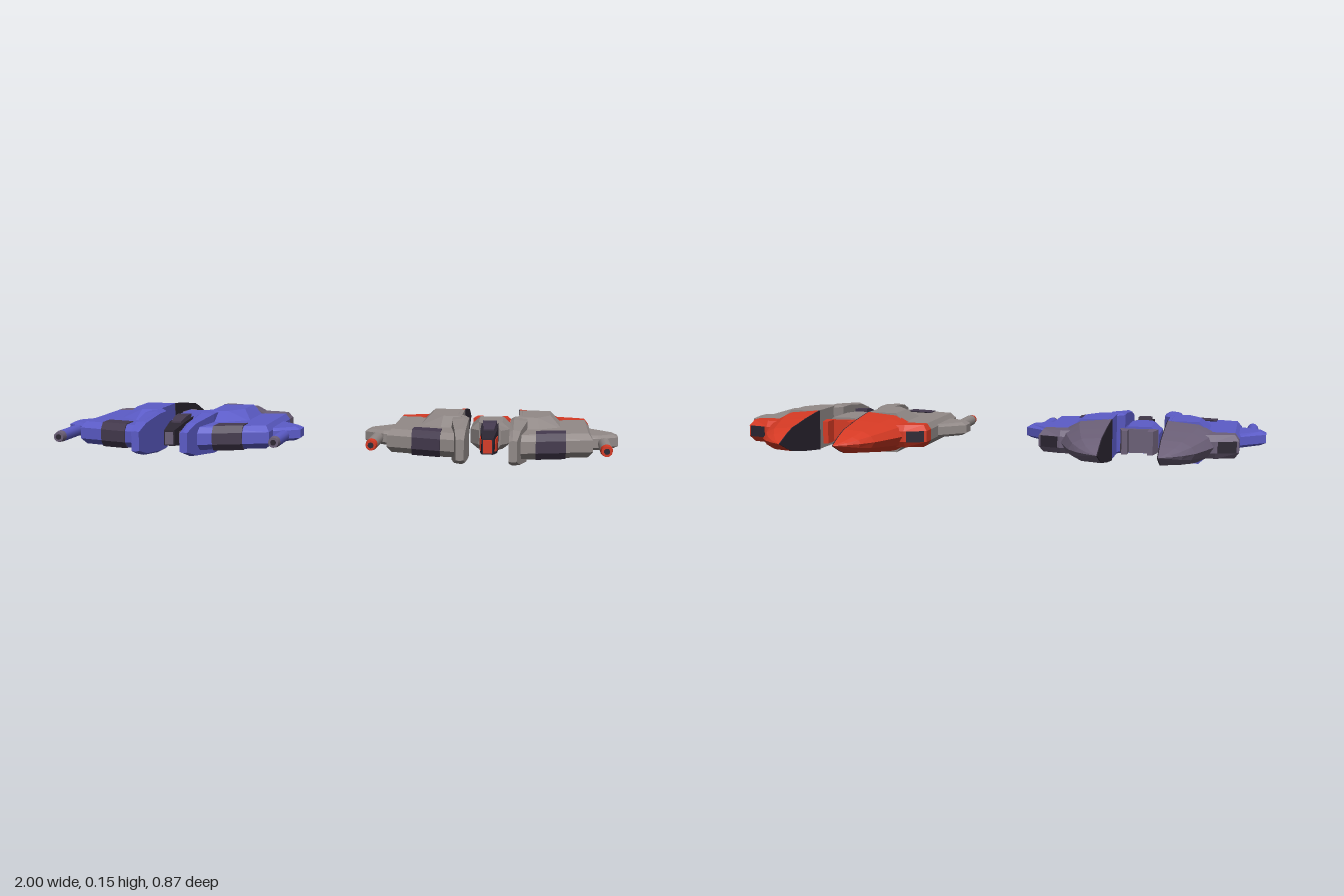
import * as THREE from 'three';

const paint = (name, color, flat = true) => {
  const m = new THREE.MeshStandardMaterial({ color });
  m.name = name;
  return m;
};

// Skin a list of equal-sized rings of [x, y, z] points, with capped ends and flat faces.
function loft(rings) {
  const tris = [];
  const n = rings[0].length;
  for (let i = 0; i < rings.length - 1; i++) {
    for (let j = 0; j < n; j++) {
      const k = (j + 1) % n;
      const a = rings[i][j], b = rings[i][k], c = rings[i + 1][k], d = rings[i + 1][j];
      tris.push([a, b, c], [a, c, d]);
    }
  }
  const first = rings[0], last = rings[rings.length - 1];
  for (let j = 1; j < n - 1; j++) {
    tris.push([first[0], first[j + 1], first[j]], [last[0], last[j], last[j + 1]]);
  }
  // Orient all faces outward using the signed volume
  const v = (p) => new THREE.Vector3(...p);
  const o = v(first[0]);
  let vol = 0;
  for (const [a, b, c] of tris) vol += v(a).sub(o).dot(v(b).sub(o).cross(v(c).sub(o)));
  const pos = [];
  for (const [a, b, c] of tris) pos.push(...a, ...(vol < 0 ? c : b), ...(vol < 0 ? b : c));
  const g = new THREE.BufferGeometry();
  g.setAttribute('position', new THREE.Float32BufferAttribute(pos, 3));
  g.computeVertexNormals();
  return g;
}

const MID = 0.075; // height of the horizontal symmetry plane

// Stack plan outlines of [x, z] points at given heights; s mirrors x.
const stack = (layers, s = 1) => loft(layers.map(([y, pts]) => pts.map(([x, z]) => [x * s, y, z])));

// Slab with bevelled outer, front and rear edges.
function slab(pts, s, grow = 0) {
  const inset = pts.map(([x, z]) => [x > 0.3 ? x - 0.015 : x, z > 0.2 ? z - 0.02 : z < -0.12 ? z + 0.015 : z]);
  const h = 0.041 + grow;
  return stack([[MID - h, inset], [MID - 0.02, pts], [MID + 0.02, pts], [MID + h, inset]], s);
}

function createShip(main, accent, dark, glass) {
  const ship = new THREE.Group();
  const add = (parent, name, geo, mat, x = 0, y = 0, z = 0) => {
    const m = new THREE.Mesh(geo, mat);
    m.name = name;
    m.position.set(x, y, z);
    parent.add(m);
    return m;
  };

  for (const s of [1, -1]) {
    const half = new THREE.Group();
    half.name = s > 0 ? 'leftHull' : 'rightHull';
    ship.add(half);

    // Hull slab and its painted rear section
    add(half, 'hullSlab', slab([[0.1, -0.06], [0.35, -0.08], [0.35, 0.27], [0.1, 0.35]], s), main);
    add(half, 'rearHull', slab([[0.1, -0.06], [0.1, -0.165], [0.27, -0.165], [0.35, -0.14], [0.35, -0.08]], s), accent);

    // Raised armour above and below
    for (const d of [1, -1]) {
      add(half, d > 0 ? 'upperArmour' : 'lowerArmour', stack([
        [MID + d * 0.035, [[0.1, -0.063], [0.25, -0.075], [0.25, 0.13], [0.17, 0.2], [0.1, 0.21]]],
        [MID + d * 0.074, [[0.1, -0.062], [0.21, -0.07], [0.21, 0.06], [0.165, 0.13], [0.1, 0.135]]],
      ], s), main);
    }

    // Inner keel plate running to the front prong: z, inner x, outer x, half height
    const keel = [[-0.06, 0.1, 0.13, 0.075], [0.09, 0.1, 0.13, 0.075], [0.125, 0.073, 0.13, 0.075],
      [0.2, 0.073, 0.13, 0.075], [0.35, 0.073, 0.11, 0.06], [0.43, 0.073, 0.1, 0.036]];
    add(half, 'keelPlate', loft(keel.map(([z, a, b, h]) => [
      [a * s, MID - h * 0.9, z], [a * s, MID + h * 0.9, z], [(a + 0.012) * s, MID + h, z],
      [b * s, MID + h * 0.94, z], [b * s, MID - h * 0.94, z], [(a + 0.012) * s, MID - h, z]])), main);

    // Swept tail fin: z, width, half height
    const fin = [[-0.06, 0.185, 0.075], [-0.12, 0.18, 0.069], [-0.2, 0.155, 0.06], [-0.26, 0.135, 0.051],
      [-0.32, 0.113, 0.043], [-0.37, 0.08, 0.027], [-0.405, 0.045, 0.013], [-0.435, 0.003, 0.001]];
    const arc = [[0, 1], [0.6, 0.88], [0.88, 0.5], [1, 0], [0.88, -0.5], [0.6, -0.88], [0, -1]];
    add(half, 'tailFin', loft(fin.map(([z, w, h]) => arc.map(([u, v]) => [(0.1 + u * w) * s, MID + v * h, z]))), accent);
    add(half, 'finInnerFace', loft(fin.map(([z, , h]) => [
      [0.097 * s, MID + h, z], [0.1 * s, MID + h, z], [0.1 * s, MID - h, z], [0.097 * s, MID - h, z]])), dark);

    // Wraparound front window
    const edge = (x) => 0.355 - (x - 0.1) * 0.32;
    add(half, 'frontWindow', slab([[0.16, 0.262], [0.26, 0.235], [0.26, edge(0.26)], [0.16, edge(0.16)]], s, 0.003), glass);

    // Rear exhaust panel
    const panel = add(half, 'exhaustPanel', new THREE.BoxGeometry(0.065, 0.04, 0.008), dark, 0.31 * s, MID, -0.153);
    panel.rotation.y = -0.3 * s;

    // Stub wing
    add(half, 'stubWing', stack([
      [0.05, [[0.33, 0], [0.42, 0.1], [0.42, 0.15], [0.37, 0.19], [0.33, 0.2]]],
      [0.06, [[0.33, -0.01], [0.44, 0.09], [0.44, 0.155], [0.37, 0.205], [0.33, 0.21]]],
      [0.09, [[0.33, -0.01], [0.44, 0.09], [0.44, 0.155], [0.37, 0.205], [0.33, 0.21]]],
      [0.1, [[0.33, 0], [0.42, 0.1], [0.42, 0.15], [0.37, 0.19], [0.33, 0.2]]],
    ], s), main);

    // Gun barrel along z
    const tube = (name, r0, r1, len, z, mat) => {
      add(half, name, new THREE.CylinderGeometry(r1, r0, len, 12), mat, 0.39 * s, MID, z).rotation.x = Math.PI / 2;
    };
    tube('gunBase', 0.012, 0.021, 0.025, 0.2, main);
    tube('gunBarrel', 0.021, 0.021, 0.14, 0.282, main);
    tube('gunTip', 0.021, 0.018, 0.026, 0.364, accent);
    tube('gunMuzzle', 0.01, 0.01, 0.004, 0.377, dark);

    // Rear prongs of the central pod
    add(ship, 'podProng', stack([
      [0.035, [[0.035, -0.135], [0.055, -0.135], [0.068, -0.06], [0.035, -0.06]]],
      [0.118, [[0.035, -0.135], [0.055, -0.135], [0.068, -0.06], [0.035, -0.06]]],
    ], s), accent);
  }

  // Central pod body
  const podPlan = (w) => [[-w, -0.06], [w, -0.06], [w, 0.09], [w * 0.55, 0.135], [-w * 0.55, 0.135], [-w, 0.09]];
  add(ship, 'podBody', stack([[0.03, podPlan(0.045)], [0.05, podPlan(0.07)], [0.1, podPlan(0.07)], [0.125, podPlan(0.042)]]), main);
  add(ship, 'podRearBlock', new THREE.BoxGeometry(0.07, 0.085, 0.04), accent, 0, MID, -0.055);

  // Nose, canopy and painted nose panels
  const box = (z, w, y0, y1) => [[-w, y0, z], [w, y0, z], [w, y1, z], [-w, y1, z]];
  add(ship, 'nose', loft([box(0.12, 0.03, 0.03, 0.125), box(0.22, 0.029, 0.035, 0.118), box(0.32, 0.019, 0.045, 0.1)]), dark);
  add(ship, 'canopy', loft([box(0.13, 0.024, 0.1, 0.136), box(0.18, 0.023, 0.1, 0.134), box(0.235, 0.018, 0.1, 0.12)]), glass);
  add(ship, 'noseBand', loft([box(0.225, 0.031, 0.045, 0.095), box(0.28, 0.026, 0.05, 0.09)]), accent);
  add(ship, 'noseFront', new THREE.BoxGeometry(0.03, 0.045, 0.004), accent, 0, 0.072, 0.321);
  return ship;
}

export function createModel() {
  const root = new THREE.Group();
  const dark = paint('darkTrim', 0x2c2632);
  const glass = paint('smokedGlass', 0x443a4e);
  const greyShip = createShip(paint('hullGrey', 0x928a88), paint('trimRed', 0xd63a24), dark, glass);
  greyShip.name = 'greyShip';
  greyShip.position.x = 0.559;
  const blueShip = createShip(paint('hullBlue', 0x5c5cc8), paint('trimPurple', 0x6c6078), dark, glass);
  blueShip.name = 'blueShip';
  blueShip.position.x = -0.559;
  root.add(greyShip, blueShip);
  return root;
}
